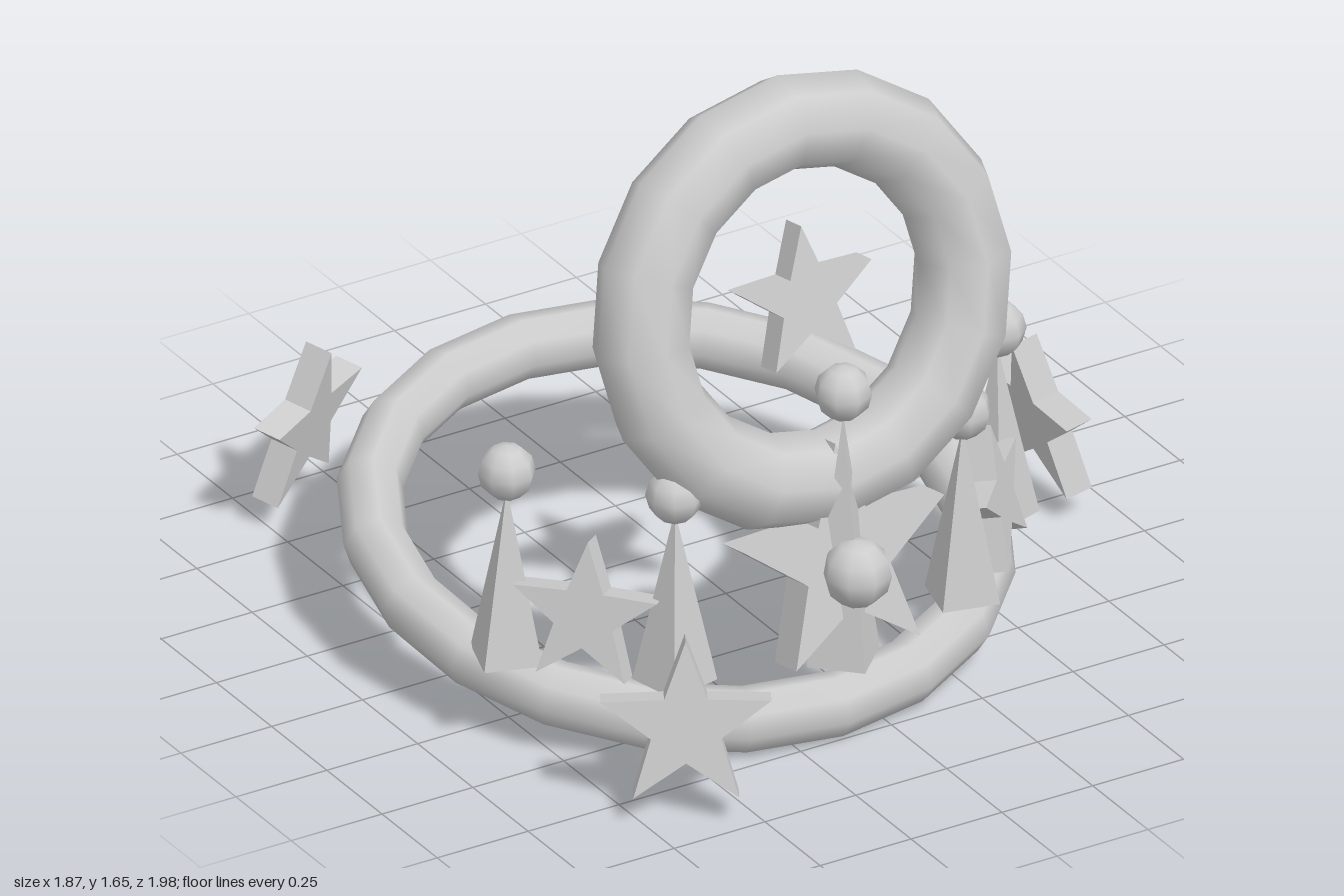
import * as THREE from 'three';

export function createModel() {
  const model = new THREE.Group();
  const grey = new THREE.MeshStandardMaterial({ color: 0xcccccc });
  grey.name = 'grey';
  const CX = -0.137; // centre of the crown in x
  const LEAN = 0.2; // common tilt in radians
  const BASE = 0.23; // height of the spike bases
  const CROWN = 0.757; // distance of the crown pieces from the centre

  function add(name, geometry, x, y, z, yaw = 0, lean = 0) {
    const mesh = new THREE.Mesh(geometry, grey);
    mesh.name = name;
    mesh.position.set(x, y, z);
    mesh.rotation.set(lean, yaw, 0, 'YXZ');
    model.add(mesh);
    return mesh;
  }

  // Five-pointed extruded star, centred in depth
  function starGeometry(radius, depth) {
    const points = [];
    for (let i = 0; i < 10; i++) {
      const a = Math.PI / 2 + (i * Math.PI) / 5;
      const r = i % 2 ? radius * 0.41 : radius;
      points.push(new THREE.Vector2(r * Math.cos(a), r * Math.sin(a)));
    }
    const g = new THREE.ExtrudeGeometry(new THREE.Shape(points), { depth, bevelEnabled: false });
    return g.translate(0, 0, -depth / 2);
  }

  // Sharp four-sided spike standing on y = 0
  function spikeGeometry(radius, height) {
    const g = new THREE.ConeGeometry(radius, height, 4).toNonIndexed();
    g.computeVertexNormals();
    return g.translate(0, height / 2, 0);
  }

  // Rings
  add('bandRing', new THREE.TorusGeometry(0.727, 0.079, 8, 20), CX, 0.226, 0, 0, Math.PI / 2 + LEAN);
  add('uprightRing', new THREE.TorusGeometry(0.443, 0.118, 8, 16), CX, 1.1, 0.57, 0, -LEAN);
  add('ringStar', starGeometry(0.187, 0.07), CX, 1.105, 0.57, 0, -LEAN);

  // Front centre: tall spike, large star and its bead
  add('tallSpike', spikeGeometry(0.1, 0.65), CX, BASE, CROWN);
  add('tallSpikeBead', new THREE.SphereGeometry(0.07, 8, 6), CX, 0.94, CROWN);
  add('largeStar', starGeometry(0.29, 0.1), CX, 0.49, 0.73, 0, -LEAN);
  add('starBead', new THREE.SphereGeometry(0.085, 8, 6), CX, 0.485, 0.82);

  // Spikes with beads and small stars on both sides
  for (const side of [-1, 1]) {
    for (const a of [0.55, 1.1]) {
      const x = CX + side * CROWN * Math.sin(a);
      const z = CROWN * Math.cos(a);
      add('spike', spikeGeometry(0.1, 0.45), x, BASE, z, side * a);
      add('spikeBead', new THREE.SphereGeometry(0.07, 8, 6), x, 0.725, z, side * a);
    }
    const a = 0.825;
    add('smallStar', starGeometry(0.185, 0.07), CX + side * CROWN * Math.sin(a), 0.39,
      CROWN * Math.cos(a), side * a, -LEAN);
  }

  // Three floating stars spaced evenly around the crown
  for (let i = 0; i < 3; i++) {
    const yaw = Math.PI / 2 + (i * Math.PI * 2) / 3;
    add('floatingStar', starGeometry(0.212, 0.07), CX + Math.sin(yaw), 0.243, Math.cos(yaw), yaw, -LEAN);
  }

  return model;
}
